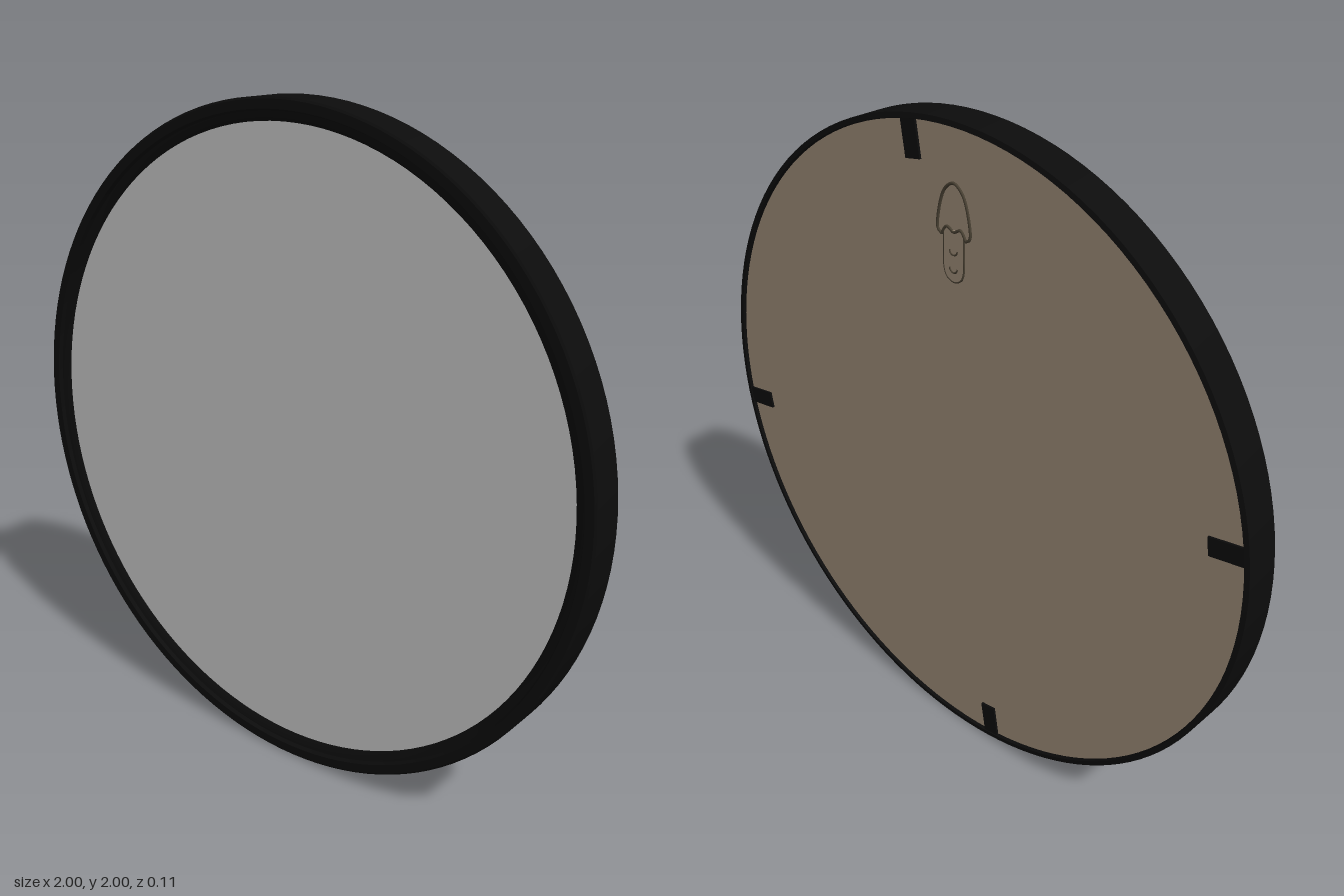
import * as THREE from 'three';
import { toCreasedNormals } from 'three/addons/utils/BufferGeometryUtils.js';

const paint = (name, color) => {
  const m = new THREE.MeshStandardMaterial({ color });
  m.name = name;
  return m;
};

export function createModel() {
  const black = paint('black frame', 0x0c0c0c);
  const silver = paint('silver glass', 0xc8c8c8);
  const brown = paint('brown backing', 0xa08e7a);
  const wire = paint('dark metal', 0x4a4234);

  const model = new THREE.Group();
  model.name = 'roundMirror';
  const disc = new THREE.Group();
  disc.name = 'mirrorBody';
  disc.position.y = 1;
  model.add(disc);

  const add = (name, geometry, material, parent = disc) => {
    const mesh = new THREE.Mesh(geometry, material);
    mesh.name = name;
    parent.add(mesh);
    return mesh;
  };

  // Frame: ring profile (radius, depth) with a lip sloping in to the glass
  const profile = [
    [0.985, -0.057], [1, -0.055], [1, 0.053], [0.994, 0.057], [0.968, 0.057],
    [0.962, 0.046], [0.945, 0.042], [0.935, 0.034], [0.935, 0.02], [0.98, -0.04], [0.985, -0.057],
  ].map(([r, y]) => new THREE.Vector2(r, y));
  const ring = new THREE.LatheGeometry(profile, 128);
  ring.rotateX(Math.PI / 2);
  add('frame', toCreasedNormals(ring, 0.5), black);

  // Glass in front, backing board behind
  const plate = (radius, depth) => new THREE.CylinderGeometry(radius, radius, depth, 128).rotateX(Math.PI / 2);
  add('glass', plate(0.94, 0.01), silver).position.z = 0.027;
  add('backing', plate(0.983, 0.02), brown).position.z = -0.037;

  // Four retaining tabs, turned slightly off the axes
  for (let i = 0; i < 4; i++) {
    const pivot = new THREE.Group();
    pivot.name = 'retainingTab' + (i + 1);
    pivot.rotation.z = -0.165 + (i * Math.PI) / 2;
    disc.add(pivot);
    add('tab', new THREE.BoxGeometry(0.054, 0.108, 0.008), black, pivot).position.set(0, 0.934, -0.05);
  }

  // Hanger near the top of the back
  const hanger = new THREE.Group();
  hanger.name = 'hanger';
  hanger.position.z = -0.048;
  disc.add(hanger);
  const tube = (name, points, closed, radius = 0.0045) => {
    const curve = new THREE.CatmullRomCurve3(points.map(([x, y]) => new THREE.Vector3(x, y, 0)), closed);
    return add(name, new THREE.TubeGeometry(curve, 48, radius, 6, closed), wire, hanger);
  };

  // Arched wire loop
  tube('hangingLoop', [
    [-0.042, 0.69], [-0.058, 0.7], [-0.056, 0.745], [-0.032, 0.815], [0, 0.837],
    [0.032, 0.815], [0.056, 0.745], [0.058, 0.7], [0.042, 0.69],
  ], false);
  tube('loopBar', [[-0.045, 0.69], [-0.025, 0.715], [0, 0.705], [0.025, 0.715], [0.045, 0.69]], false);

  // Strap with a rounded end and dark edge
  const strap = new THREE.Shape();
  strap.moveTo(-0.036, 0.71);
  strap.lineTo(-0.036, 0.6);
  strap.absarc(0, 0.6, 0.036, Math.PI, Math.PI * 2, false);
  strap.lineTo(0.036, 0.71);
  const strapBody = new THREE.ExtrudeGeometry(strap, { depth: 0.004, bevelEnabled: false, curveSegments: 16 });
  add('strap', strapBody, brown, hanger).position.z = -0.002;
  tube('strapEdge', [
    [-0.036, 0.705], [-0.036, 0.65], [-0.036, 0.6], [-0.026, 0.575], [0, 0.564],
    [0.026, 0.575], [0.036, 0.6], [0.036, 0.65], [0.036, 0.705],
  ], false, 0.003);

  // Screw rims
  for (const y of [0.605, 0.655]) {
    const rim = add('screwRim', new THREE.TorusGeometry(0.014, 0.0025, 6, 20, Math.PI), wire, hanger);
    rim.position.set(0, y, -0.002);
    rim.rotation.z = Math.PI;
  }

  return model;
}
